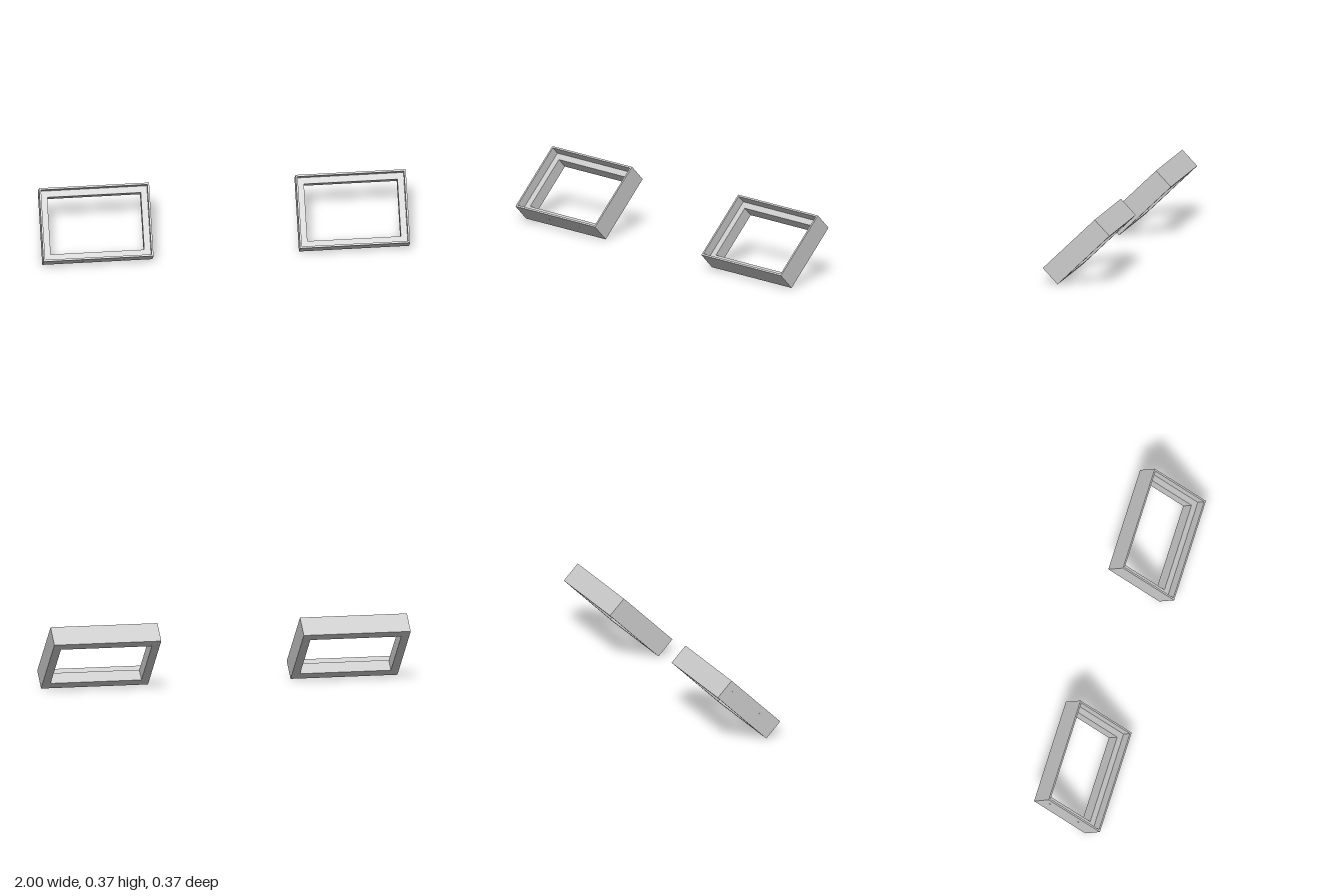
import * as THREE from 'three';

const WIDTH = 0.6, LENGTH = 0.404, DEPTH = 0.12;
const RIM = 0.01;      // thin wall around the recess
const BORDER = 0.045;  // full border around the opening
const RECESS = 0.052;  // recess depth below the front rim
const TILT = THREE.MathUtils.degToRad(-45.9);

const material = new THREE.MeshStandardMaterial({ color: 0xcccccc, flatShading: true });

// Stepped frame: rectangular loops given as [inset, z], joined in a closed ring
function frameGeometry() {
  const h = DEPTH / 2;
  const profile = [
    [0, -h], [0, h], [RIM, h], [RIM, h - RECESS], [BORDER, h - RECESS], [BORDER, -h],
  ];
  const loops = profile.map(([inset, z]) => {
    const x = WIDTH / 2 - inset, y = LENGTH / 2 - inset;
    return [[-x, -y, z], [x, -y, z], [x, y, z], [-x, y, z]];
  });
  const positions = [];
  loops.forEach((loop, i) => {
    const next = loops[(i + 1) % loops.length];
    for (let k = 0; k < 4; k++) {
      const m = (k + 1) % 4;
      const a = loop[k], b = loop[m], c = next[m], d = next[k];
      positions.push(...a, ...b, ...c, ...a, ...c, ...d);
    }
  });
  const geometry = new THREE.BufferGeometry();
  geometry.setAttribute('position', new THREE.Float32BufferAttribute(positions, 3));
  geometry.computeVertexNormals();
  return geometry;
}

// Tiny fastener head, barely proud of the frame
function addPin(parent, name, x, y, z, alongX) {
  const pin = new THREE.Mesh(new THREE.CylinderGeometry(0.004, 0.004, 0.004, 12), material);
  pin.name = name;
  pin.position.set(x, y, z);
  if (alongX) pin.rotation.z = Math.PI / 2;
  parent.add(pin);
}

export function createModel() {
  const model = new THREE.Group();
  model.name = 'tiltedFrames';
  const geometry = frameGeometry();

  for (const side of [-1, 1]) {
    const group = new THREE.Group();
    group.name = side < 0 ? 'rightFrame' : 'leftFrame';
    group.position.set(side * 0.7, 0.184, 0);
    group.rotation.x = TILT;

    const frame = new THREE.Mesh(geometry, material);
    frame.name = 'steppedFrame';
    group.add(frame);

    // Fasteners on the lower edge and outer side of one frame
    if (side < 0) {
      for (const x of [-0.08, 0.143]) addPin(group, 'lowerPin', x, -LENGTH / 2, 0.005, false);
      for (const y of [-0.07, 0.155]) addPin(group, 'sidePin', -WIDTH / 2, y, 0.02, true);
    }
    model.add(group);
  }
  return model;
}
